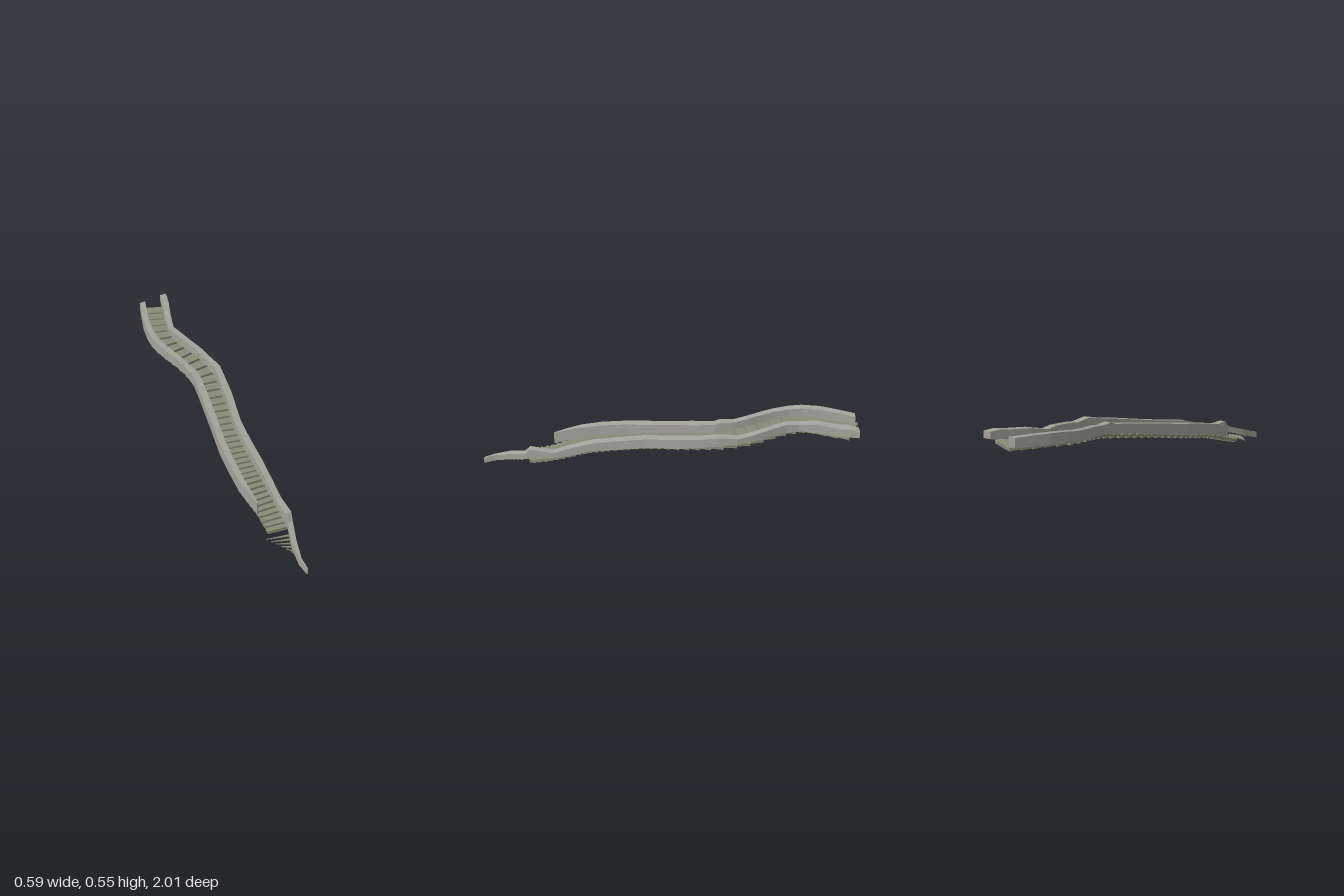
import * as THREE from 'three';

// wall stations from front to back: z, outer x, thickness, top y, bottom y
const LEFT_WALL = [
  [1.0, -0.238, 0.004, 0.04, 0.003], [0.94, -0.23, 0.015, 0.06, 0.025], [0.85, -0.19, 0.03, 0.097, 0.06],
  [0.755, -0.138, 0.032, 0.135, 0.1], [0.73, -0.127, 0.035, 0.17, 0.108], [0.6, -0.09, 0.035, 0.17, 0.133],
  [0.5, -0.069, 0.036, 0.217, 0.17], [0.38, -0.043, 0.037, 0.265, 0.215], [0.24, -0.01, 0.038, 0.3, 0.243],
  [0.1, 0.03, 0.04, 0.337, 0.278], [-0.08, 0.108, 0.042, 0.385, 0.328], [-0.2, 0.15, 0.04, 0.415, 0.362],
  [-0.28, 0.175, 0.037, 0.44, 0.388], [-0.38, 0.187, 0.036, 0.44, 0.405], [-0.46, 0.184, 0.035, 0.46, 0.42],
  [-0.58, 0.162, 0.034, 0.49, 0.44], [-0.64, 0.155, 0.034, 0.503, 0.452], [-0.7, 0.158, 0.036, 0.503, 0.462],
  [-0.79, 0.2, 0.04, 0.53, 0.478], [-0.9, 0.262, 0.042, 0.545, 0.495], [-0.94, 0.28, 0.042, 0.555, 0.505],
  [-0.99, 0.303, 0.04, 0.553, 0.515],
];
const RIGHT_WALL = [
  [0.6, -0.243, 0.006, 0.2, 0.13], [0.53, -0.244, 0.018, 0.225, 0.155], [0.45, -0.243, 0.03, 0.25, 0.185],
  [0.33, -0.217, 0.036, 0.285, 0.22], [0.2, -0.18, 0.038, 0.315, 0.25], [0.03, -0.115, 0.04, 0.355, 0.295],
  [-0.16, -0.045, 0.042, 0.4, 0.345], [-0.27, -0.005, 0.04, 0.425, 0.37], [-0.3, 0.0, 0.038, 0.44, 0.378],
  [-0.37, 0.008, 0.033, 0.443, 0.393], [-0.45, 0.003, 0.032, 0.463, 0.41], [-0.52, -0.01, 0.034, 0.477, 0.423],
  [-0.58, -0.017, 0.035, 0.49, 0.434], [-0.66, -0.017, 0.035, 0.505, 0.447], [-0.73, -0.002, 0.036, 0.52, 0.46],
  [-0.82, 0.032, 0.037, 0.533, 0.474], [-0.9, 0.073, 0.037, 0.54, 0.484], [-0.99, 0.122, 0.036, 0.546, 0.493],
];
const TREAD_HEIGHT = [
  [0.8, 0.068], [0.7, 0.092], [0.6, 0.127], [0.4, 0.205], [0.2, 0.257], [0, 0.309],
  [-0.3, 0.38], [-0.6, 0.445], [-0.75, 0.475], [-0.99, 0.502],
];

// linear lookup of one column by z, in rows running from front to back
function lookup(rows, z, col) {
  let i = 0;
  while (i < rows.length - 2 && rows[i + 1][0] > z) i++;
  const a = rows[i], b = rows[i + 1];
  return a[col] + (b[col] - a[col]) * (a[0] - z) / (a[0] - b[0]);
}

// a capped rectangular section swept through the stations; inward is the sign of x toward the stair
function wallGeometry(rows, inward) {
  const pos = [];
  const rings = rows.map(([z, x, w, top, bottom]) => {
    const xi = x + inward * w;
    return [[x, bottom, z], [x, top, z], [xi, top, z], [xi, bottom, z]];
  });
  const quad = (a, b, c, d) => {
    const q = inward > 0 ? [a, b, c, a, c, d] : [a, c, b, a, d, c];
    q.forEach((p) => pos.push(...p));
  };
  for (let i = 0; i < rings.length - 1; i++) {
    for (let j = 0; j < 4; j++) {
      const k = (j + 1) % 4;
      quad(rings[i][j], rings[i][k], rings[i + 1][k], rings[i + 1][j]);
    }
  }
  const f = rings[0], e = rings[rings.length - 1];
  quad(f[0], f[3], f[2], f[1]);
  quad(e[0], e[1], e[2], e[3]);
  const geo = new THREE.BufferGeometry();
  geo.setAttribute('position', new THREE.Float32BufferAttribute(pos, 3));
  geo.computeVertexNormals();
  return geo;
}

export function createModel() {
  const group = new THREE.Group();
  const wallStone = new THREE.MeshStandardMaterial({ color: 0xa2a39a });
  wallStone.name = 'wallStone';
  const stepStone = new THREE.MeshStandardMaterial({ color: 0x888b77 });
  stepStone.name = 'stepStone';
  const add = (name, geo, mat, parent = group) => {
    const mesh = new THREE.Mesh(geo, mat);
    mesh.name = name;
    parent.add(mesh);
    return mesh;
  };

  // parapet walls
  add('leftWall', wallGeometry(LEFT_WALL, -1), wallStone);
  add('rightWall', wallGeometry(RIGHT_WALL, 1), wallStone);

  // treads follow the winding path and get deeper toward the top
  const steps = new THREE.Group();
  steps.name = 'steps';
  group.add(steps);
  const rightEdge = [[0.8, -0.28], [0.7, -0.262], ...RIGHT_WALL];
  const middle = (z) => (lookup(LEFT_WALL, z, 1) + lookup(rightEdge, z, 1)) / 2;
  let z = 0.72;
  while (z > -0.95) {
    const depth = 0.032 + 0.03 * THREE.MathUtils.smoothstep(-z, -0.5, 0.4);
    const zc = z - depth / 2;
    const angle = Math.atan((middle(zc + 0.07) - middle(zc - 0.07)) / 0.14);
    const span = lookup(LEFT_WALL, zc, 1) - lookup(rightEdge, zc, 1);
    const width = (span - 0.02) * Math.cos(angle);
    const step = add('step', new THREE.BoxGeometry(width, 0.017, depth * 1.15), stepStone, steps);
    step.position.set(middle(zc), lookup(TREAD_HEIGHT, zc, 1) - 0.0085, zc);
    step.rotation.y = angle;
    z -= depth * Math.cos(angle);
  }

  // broken, pointed treads at the foot of the stair
  for (let i = 0; i < 6; i++) {
    const zf = 0.735 + i * 0.022;
    const x = lookup(LEFT_WALL, zf + 0.03, 1) - 0.02;
    const tip = -0.29 + 0.014 * i;
    const shape = new THREE.Shape([
      new THREE.Vector2(tip, -zf), new THREE.Vector2(x, -zf - 0.055), new THREE.Vector2(x, -zf - 0.04),
    ]);
    const geo = new THREE.ExtrudeGeometry(shape, { depth: 0.006, bevelEnabled: false });
    geo.rotateX(-Math.PI / 2);
    add('brokenStep', geo, stepStone, steps).position.y = 0.072 - i * 0.007;
  }
  return group;
}
